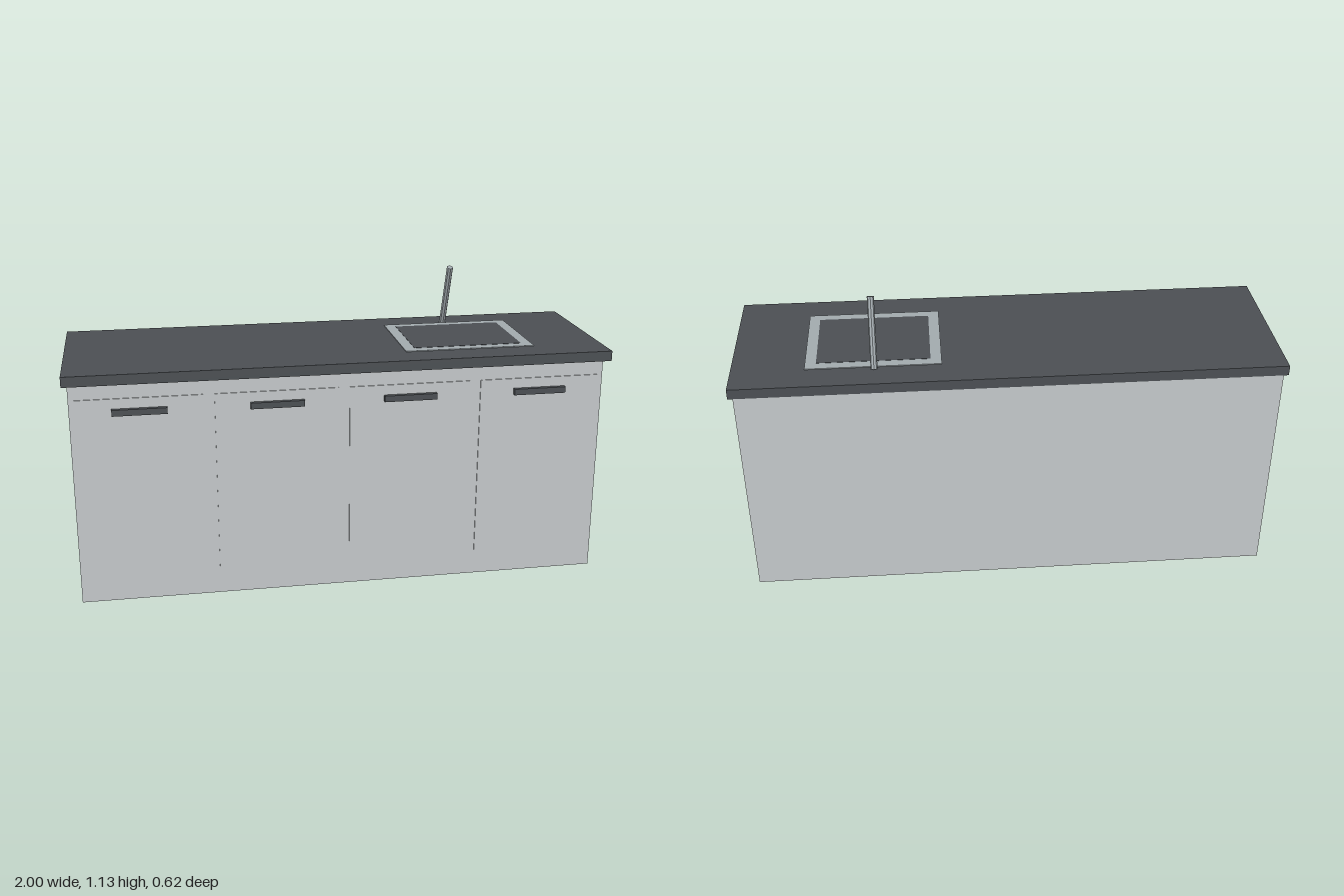
import * as THREE from 'three';

export function createModel() {
  const model = new THREE.Group();
  model.name = 'kitchenCounter';

  const mat = (name, color) => {
    const m = new THREE.MeshStandardMaterial({ color });
    m.name = name;
    return m;
  };
  const cabinetGrey = mat('cabinetGrey', 0xc4c8ca);
  const darkStone = mat('darkStone', 0x4b4f53);
  const steel = mat('steel', 0xa2aaae);

  // Box given by its minimum and maximum corners
  const box = (name, material, [x0, y0, z0], [x1, y1, z1]) => {
    const mesh = new THREE.Mesh(new THREE.BoxGeometry(x1 - x0, y1 - y0, z1 - z0), material);
    mesh.position.set((x0 + x1) / 2, (y0 + y1) / 2, (z0 + z1) / 2);
    mesh.name = name;
    model.add(mesh);
    return mesh;
  };

  // Cabinet body and overhanging worktop
  box('cabinet', cabinetGrey, [-0.982, 0, -0.312], [0.982, 0.845, 0.275]);
  box('worktop', darkStone, [-1, 0.845, -0.312], [1, 0.883, 0.312]);

  // Four doors, each with a bar handle
  for (const x of [-0.736, -0.245, 0.245, 0.736]) {
    box('door', cabinetGrey, [x - 0.225, 0.1, 0.27], [x + 0.225, 0.785, 0.279]);
    box('handle', darkStone, [x - 0.098, 0.725, 0.275], [x + 0.098, 0.748, 0.295]);
  }

  // Sink: steel rim with an opening, and a dark basin plate set inside it
  const sinkX = 0.491;
  const rect = (path, w, d) => path
    .moveTo(-w, -d).lineTo(w, -d).lineTo(w, d).lineTo(-w, d).closePath();
  const rimShape = rect(new THREE.Shape(), 0.246, 0.197);
  rimShape.holes.push(rect(new THREE.Path(), 0.206, 0.16));
  const rimGeometry = new THREE.ExtrudeGeometry(rimShape, { depth: 0.003, bevelEnabled: false });
  rimGeometry.rotateX(-Math.PI / 2);
  const rim = new THREE.Mesh(rimGeometry, steel);
  rim.name = 'sinkRim';
  rim.position.set(sinkX, 0.883, 0);
  model.add(rim);
  box('sinkBasin', darkStone, [sinkX - 0.206, 0.88, -0.16], [sinkX + 0.206, 0.887, 0.16]);

  // Straight tap leaning forward over the sink
  const foot = new THREE.Vector3(0.488, 0.883, -0.212);
  const tip = new THREE.Vector3(0.488, 1.127, -0.118);
  const axis = tip.clone().sub(foot);
  const tapGeometry = new THREE.CylinderGeometry(0.0125, 0.0125, axis.length(), 8);
  const tap = new THREE.Mesh(tapGeometry.toNonIndexed(), steel);
  tap.geometry.computeVertexNormals();
  tap.name = 'tap';
  tap.position.copy(foot).add(tip).multiplyScalar(0.5);
  tap.quaternion.setFromUnitVectors(new THREE.Vector3(0, 1, 0), axis.normalize());
  model.add(tap);

  return model;
}
